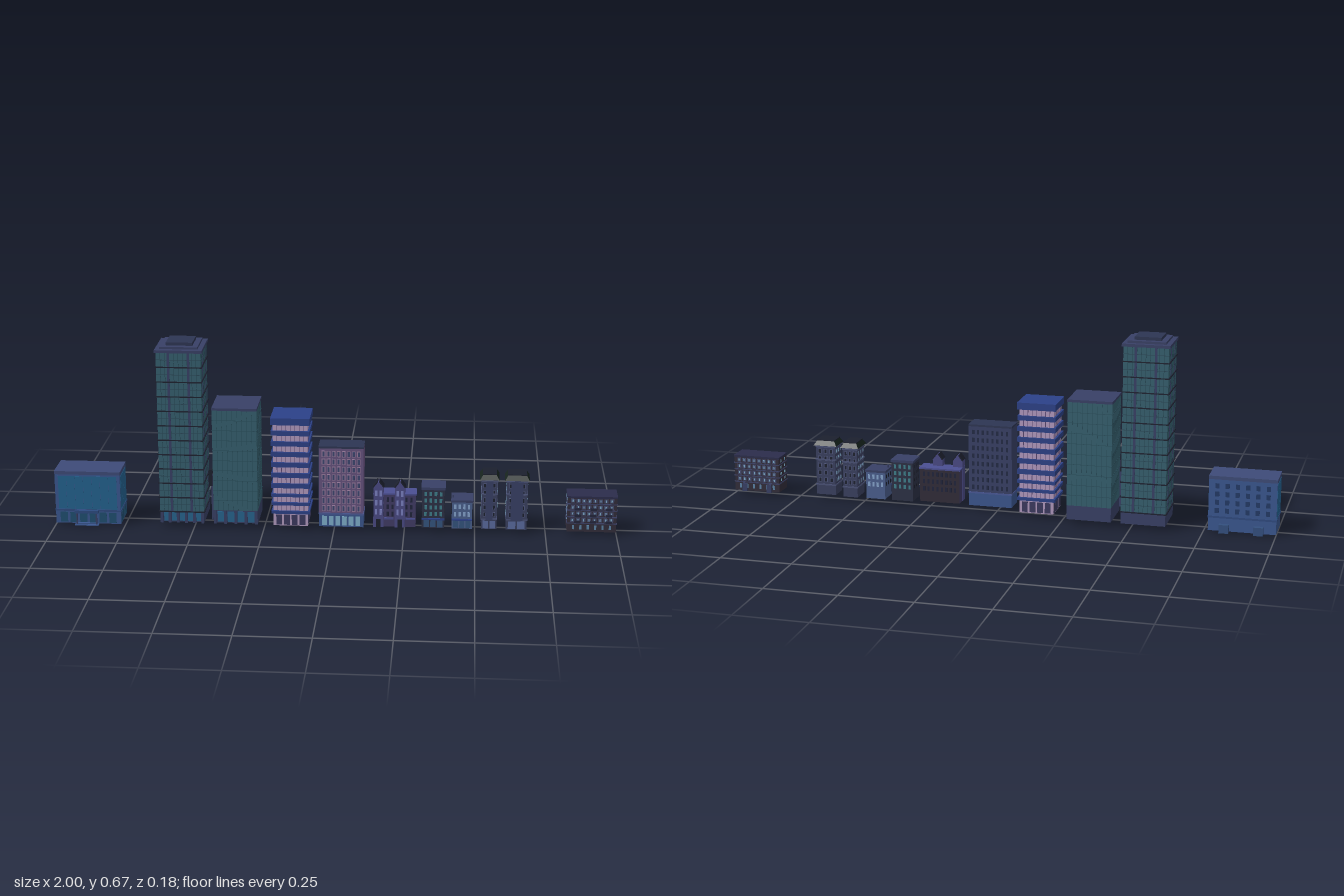
import * as THREE from 'three';
import { mergeGeometries } from 'three/addons/utils/BufferGeometryUtils.js';

// Bounds are [x0, x1, y0, y1, z0, z1]
const boxGeo = ([x0, x1, y0, y1, z0, z1]) =>
  new THREE.BoxGeometry(x1 - x0, y1 - y0, z1 - z0).translate((x0 + x1) / 2, (y0 + y1) / 2, (z0 + z1) / 2);

// Box whose top is drawn in by a given amount: mansard roofs
function taperGeo(b, inset) {
  const g = boxGeo(b), p = g.attributes.position, cx = (b[0] + b[1]) / 2, cz = (b[4] + b[5]) / 2;
  for (let i = 0; i < p.count; i++) {
    if (p.getY(i) < (b[2] + b[3]) / 2) continue;
    p.setX(i, p.getX(i) - Math.sign(p.getX(i) - cx) * inset);
    p.setZ(i, p.getZ(i) - Math.sign(p.getZ(i) - cz) * inset);
  }
  g.computeVertexNormals();
  return g;
}

// Upright front-facing outline given depth
function prismGeo(points, z0, z1) {
  const s = new THREE.Shape(points.map(([x, y]) => new THREE.Vector2(x, y)));
  return new THREE.ExtrudeGeometry(s, { depth: z1 - z0, bevelEnabled: false }).translate(0, 0, z0);
}

const materials = {};
function add(group, name, color, items) {
  materials[color] ??= new THREE.MeshStandardMaterial({ color, flatShading: true });
  const geos = items.map((i) => {
    const g = Array.isArray(i) ? boxGeo(i) : i;
    return g.index ? g.toNonIndexed() : g;
  });
  const mesh = new THREE.Mesh(mergeGeometries(geos), materials[color]);
  mesh.name = name;
  group.add(mesh);
}

// Slab that wraps all round a block
const ring = (b, y0, y1, out) => [b[0] - out, b[1] + out, y0, y1, b[4] - out, b[5] + out];
const rings = (b, ys, h, out) => ys.map((y) => ring(b, y, y + h, out));

// Grid of thin panels on chosen faces: f front, b back, r +x side, l -x side
function cells(b, faces, nFront, nSide, rows, y0, y1, fw, fh, d = 0.002) {
  const out = [], dy = (y1 - y0) / rows;
  for (const f of faces) {
    const alongX = f === 'f' || f === 'b';
    const u0 = alongX ? b[0] : b[4], u1 = alongX ? b[1] : b[5];
    const n = alongX ? nFront : nSide, m = (u1 - u0) * 0.05, du = (u1 - u0 - 2 * m) / n;
    for (let i = 0; i < n; i++) for (let j = 0; j < rows; j++) {
      const a = u0 + m + du * (i + 0.5 - fw / 2), c = a + du * fw;
      const v = y0 + dy * (j + 0.5 - fh / 2), w = v + dy * fh;
      if (f === 'f') out.push([a, c, v, w, b[5] - d, b[5] + d]);
      if (f === 'b') out.push([a, c, v, w, b[4] - d, b[4] + d]);
      if (f === 'r') out.push([b[1] - d, b[1] + d, v, w, a, c]);
      if (f === 'l') out.push([b[0] - d, b[0] + d, v, w, a, c]);
    }
  }
  return out;
}
const steps = (start, gap, n) => Array.from({ length: n }, (_, i) => start + gap * i);

const TEAL = 0x35606f, NAVY = 0x384066, ROOF = 0x2d3553, DARK = 0x1c202e, BLUE = 0x2c4188,
  PINK = 0xb29abf, PURPLE = 0x66527f, GLASS = 0x27658f, PANE = 0x7fb0cc, GREEN = 0x17241f;

function building(city, name, make) {
  const g = new THREE.Group();
  g.name = name;
  make(g);
  city.add(g);
}

// Ground floor: solid at the back, recessed glass and columns at the front
function lobby(g, b, top, wall, n) {
  const front = b[5] - 0.012;
  add(g, 'groundFloor', wall, [[b[0], b[1], b[2], top, b[4], front]]);
  add(g, 'lobbyGlass', GLASS, cells([b[0], b[1], b[2], top, b[4], front], 'f', n, 1, 1, b[2] + 0.004, top - 0.008, 0.7, 1));
  add(g, 'lobbyColumns', wall, steps(0, (b[1] - b[0] - 0.01) / n, n + 1).map((x) =>
    [b[0] + x, b[0] + x + 0.01, b[2], top, front, b[5]]));
}

export function createModel() {
  const city = new THREE.Group();
  city.name = 'cityBlock';

  building(city, 'glassHall', (g) => {
    const b = [-1, -0.765, 0.004, 0.196, -0.046, 0.072];
    add(g, 'walls', 0x3a5790, [b]);
    add(g, 'parapet', 0x3e4b78, [ring(b, 0.188, 0.2, 0.001)]);
    add(g, 'glazing', 0x23628f, cells(b, 'frl', 7, 4, 1, 0.058, 0.182, 0.97, 1, 0.001));
    add(g, 'backWindows', 0x233a66, cells(b, 'b', 6, 4, 4, 0.062, 0.18, 0.4, 0.6, 0.001));
    add(g, 'floorBand', 0x2f4a80, [ring(b, 0.05, 0.057, 0.002)]);
    add(g, 'shopfront', 0x1f4f70, cells(b, 'fr', 6, 4, 1, 0.008, 0.046, 0.75, 1, 0.001));
    add(g, 'entranceCanopy', 0x2c4a80, [[-0.93, -0.845, 0.046, 0.056, 0.07, 0.086]]);
    add(g, 'entranceSteps', 0x3a5790, [[-0.93, -0.845, 0, 0.004, 0.07, 0.088], [-0.92, -0.855, 0.004, 0.008, 0.07, 0.081]]);
    add(g, 'entranceColumns', NAVY, [-0.925, -0.855].map((x) => [x, x + 0.005, 0, 0.046, 0.079, 0.084]));
    add(g, 'backDocks', 0x33507f, [-0.957, -0.838].map((x) => [x, x + 0.034, 0, 0.03, -0.062, -0.046]));
  });

  building(city, 'tallTower', (g) => {
    const b = [-0.622, -0.465, 0.015, 0.645, -0.084, 0.073];
    lobby(g, b, 0.06, NAVY, 5);
    const body = [b[0], b[1], 0.06, 0.645, b[4], b[5]];
    add(g, 'glassBody', TEAL, [body]);
    add(g, 'mullions', 0x264856, cells(body, 'fbrl', 9, 9, 1, 0.06, 0.645, 0.1, 1, 0.0007));
    add(g, 'piers', NAVY, cells(body, 'fbrl', 2, 2, 1, 0.06, 0.645, 0.12, 1, 0.0015));
    add(g, 'floorLedges', DARK, rings(body, steps(0.056, 0.0535, 11), 0.0035, 0.004));
    add(g, 'floorLines', 0x2a4858, rings(body, steps(0.083, 0.0535, 11), 0.002, 0.0008));
    add(g, 'crown', NAVY, [ring(b, 0.645, 0.655, 0.005), ring(b, 0.655, 0.663, -0.012)]);
    add(g, 'roofHouse', ROOF, [ring(b, 0.663, 0.674, -0.032)]);
  });

  building(city, 'glassTower', (g) => {
    const b = [-0.43, -0.272, 0.015, 0.438, -0.083, 0.072];
    lobby(g, b, 0.066, NAVY, 4);
    const body = [b[0], b[1], 0.066, 0.438, b[4], b[5]];
    add(g, 'glassBody', TEAL, [body]);
    add(g, 'mullions', 0x2a4f5d, cells(body, 'fbrl', 8, 8, 1, 0.066, 0.438, 0.08, 1, 0.0006));
    add(g, 'floorLines', 0x2a4f5d, rings(body, steps(0.103, 0.0372, 9), 0.002, 0.0007));
    add(g, 'roofEdge', NAVY, [ring(b, 0.438, 0.447, 0.001)]);
    add(g, 'bladeSign', DARK, [[-0.444, -0.432, 0.16, 0.22, 0.066, 0.08]]);
    add(g, 'signBracket', NAVY, [[-0.436, -0.43, 0.03, 0.2, 0.067, 0.073]]);
  });

  building(city, 'bandedBlock', (g) => {
    const b = [-0.215, -0.092, 0.015, 0.395, -0.044, 0.073];
    add(g, 'walls', PINK, [b]);
    add(g, 'windowPosts', PURPLE, cells(b, 'fbrl', 7, 6, 1, 0.062, 0.395, 0.12, 1, 0.001));
    add(g, 'balconyBands', BLUE, [...rings(b, steps(0.158, 0.039, 6), 0.017, 0.007),
      ...rings(b, [0.061, 0.093, 0.125], 0.011, 0.007)]);
    add(g, 'roofBand', BLUE, [ring(b, 0.392, 0.417, 0.008)]);
    add(g, 'shopfront', 0x3c3a60, cells(b, 'fbrl', 4, 4, 1, 0.018, 0.056, 0.75, 1, 0.001));
  });

  building(city, 'apartmentBlock', (g) => {
    const b = [-0.053, 0.105, 0.015, 0.308, -0.005, 0.072];
    add(g, 'walls', PURPLE, [[b[0], b[1], 0.065, b[3], b[4], b[5]]]);
    add(g, 'base', 0x3b568f, [[b[0], b[1], b[2], 0.065, b[4], b[5]]]);
    add(g, 'rearWall', NAVY, [[b[0] - 0.0005, b[1], 0.065, b[3], b[4] - 0.001, b[4]],
      [b[0] - 0.001, b[0], 0.065, b[3], b[4], b[5]]]);
    add(g, 'frontFrames', 0x9a7c9f, cells(b, 'f', 8, 1, 8, 0.07, 0.302, 0.72, 0.78, 0.001));
    add(g, 'frontWindows', 0x3c4670, cells(b, 'f', 8, 1, 8, 0.07, 0.302, 0.42, 0.6, 0.002));
    add(g, 'rearWindows', 0x222a45, cells(b, 'b', 8, 1, 8, 0.07, 0.302, 0.45, 0.55, 0.002));
    add(g, 'shopWindows', PANE, cells(b, 'f', 6, 1, 1, 0.02, 0.055, 0.7, 1, 0.001));
    add(g, 'baseCornice', 0x4a5a98, [ring(b, 0.061, 0.067, 0.002)]);
    add(g, 'parapet', ROOF, [ring(b, 0.308, 0.315, 0.001)]);
  });

  building(city, 'gabledRow', (g) => {
    const b = [0.142, 0.29, 0.015, 0.135, 0.002, 0.058];
    add(g, 'walls', 0x413c66, [b]);
    add(g, 'rearWall', 0x302b38, [[b[0], b[1], b[2], b[3], 0, 0.002]]);
    add(g, 'cornice', 0x4b4f92, [ring(b, 0.135, 0.141, 0.003)]);
    for (const x of [0.14, 0.216]) {
      add(g, 'gabledBay', 0x4a4a86, [prismGeo([[x, 0.015], [x + 0.036, 0.015], [x + 0.036, 0.165],
        [x + 0.022, 0.184], [x + 0.014, 0.184], [x, 0.165]], 0.035, 0.066)]);
      add(g, 'bayRoof', DARK, [-1, 1].map((s) => new THREE.BoxGeometry(0.026, 0.004, 0.036)
        .rotateZ(-s * 0.93).translate(x + 0.018 + s * 0.011, 0.176, 0.05)));
      const bay = [x, x + 0.036, 0.015, 0.165, 0.035, 0.066];
      add(g, 'bayWindows', 0x7d83c4, cells(bay, 'f', 2, 1, 3, 0.055, 0.16, 0.5, 0.6, 0.001));
      add(g, 'door', DARK, cells(bay, 'f', 1, 1, 1, 0.016, 0.045, 0.5, 1, 0.001));
    }
    add(g, 'windows', 0x20243c, cells(b, 'fb', 8, 1, 3, 0.05, 0.132, 0.45, 0.6, 0.004));
    add(g, 'porches', 0x4b4f92, [0.179, 0.255].map((x) => [x, x + 0.033, 0.045, 0.05, 0.05, 0.066]));
  });

  // Small shops and houses sharing one recipe
  const small = [
    ['cornerShop', [0.312, 0.392, 0.015, 0.158, -0.016, 0.06], 0x2c3145, 0x3f7f8c, 4, 4, 0.167],
    ['lowShop', [0.418, 0.49, 0.015, 0.114, -0.016, 0.06], 0x4a5f8e, 0x86a5cf, 4, 2, 0.122],
  ];
  for (const [name, b, wall, pane, n, rows, top] of small) building(city, name, (g) => {
    add(g, 'walls', wall, [b]);
    add(g, 'cornice', NAVY, [ring(b, b[3], top, 0.003)]);
    add(g, 'windows', pane, cells(b, 'fb', n, 4, rows, 0.055, b[3] - 0.003, 0.5, 0.6, 0.001));
    add(g, 'sideWindows', DARK, cells(b, 'rl', n, 3, rows, 0.055, b[3] - 0.003, 0.4, 0.5, 0.001));
    add(g, 'shopfront', 0x35557f, cells(b, 'f', 3, 1, 1, 0.018, 0.045, 0.8, 1, 0.001));
    add(g, 'awning', BLUE, [[b[0], b[1], 0.047, 0.052, b[5], b[5] + 0.008]]);
  });
  building(city, 'chimney', (g) => add(g, 'chimneyStack', NAVY, [[0.419, 0.425, 0.122, 0.132, 0.03, 0.036]]));

  // Two narrow houses with mansard roofs
  const houses = [['narrowHouse', [0.522, 0.577, 0.015, 0.2, -0.02, 0.058]], ['wideHouse', [0.61, 0.683, 0.015, 0.2, -0.01, 0.058]]];
  for (const [name, b] of houses) building(city, name, (g) => {
    add(g, 'walls', 0x3a4060, [b]);
    add(g, 'stringCourses', 0x4b5378, rings(b, [0.05, 0.145, 0.192], 0.005, 0.002));
    add(g, 'windowFrames', 0x50587e, cells(b, 'fbrl', 3, 3, 5, 0.057, 0.192, 0.6, 0.65, 0.0008));
    add(g, 'windows', DARK, cells(b, 'fb', 3, 3, 5, 0.057, 0.192, 0.38, 0.5, 0.0015));
    add(g, 'sideWindows', PANE, cells(b, 'rl', 3, 3, 5, 0.057, 0.192, 0.3, 0.4, 0.0015));
    add(g, 'shopfront', 0x5a6ba0, cells(b, 'f', 2, 1, 1, 0.018, 0.046, 0.8, 1, 0.001));
    add(g, 'mansardRoof', GREEN, [taperGeo(ring(b, 0.2, 0.217, 0.007), 0.011)]);
    add(g, 'roofRidge', DARK, [ring(b, 0.217, 0.22, -0.003)]);
    add(g, 'bayFront', NAVY, [[b[0] + 0.015, b[1] - 0.015, 0.05, 0.195, b[5], b[5] + 0.004]]);
  });

  building(city, 'brickBlock', (g) => {
    const b = [0.825, 0.998, 0.012, 0.138, -0.025, 0.053];
    add(g, 'walls', 0x322d3a, [b]);
    add(g, 'floorLedges', 0x3d4268, rings(b, [0.042, 0.066, 0.09, 0.114], 0.004, 0.002));
    add(g, 'parapet', 0x2b2d4c, [ring(b, 0.138, 0.145, 0.002)]);
    add(g, 'windowFrames', 0x454c70, cells(b, 'fb', 8, 1, 4, 0.044, 0.14, 0.75, 0.6, 0.001));
    add(g, 'windows', PANE, cells(b, 'fbrl', 8, 2, 4, 0.044, 0.14, 0.22, 0.36, 0.0016));
    add(g, 'groundWindows', 0x5c84a8, cells(b, 'fbr', 6, 2, 1, 0.02, 0.038, 0.3, 0.9, 0.0012));
    add(g, 'balconies', 0x23263c, [0.85, 0.905, 0.96].flatMap((x) => [0.046, 0.07, 0.094].map((y) => [x, x + 0.022, y, y + 0.008, 0.053, 0.06])));
    add(g, 'porches', NAVY, [0.855, 0.95].map((x) => [x, x + 0.018, 0.01, 0.04, -0.032, -0.025]));
  });

  return city;
}
